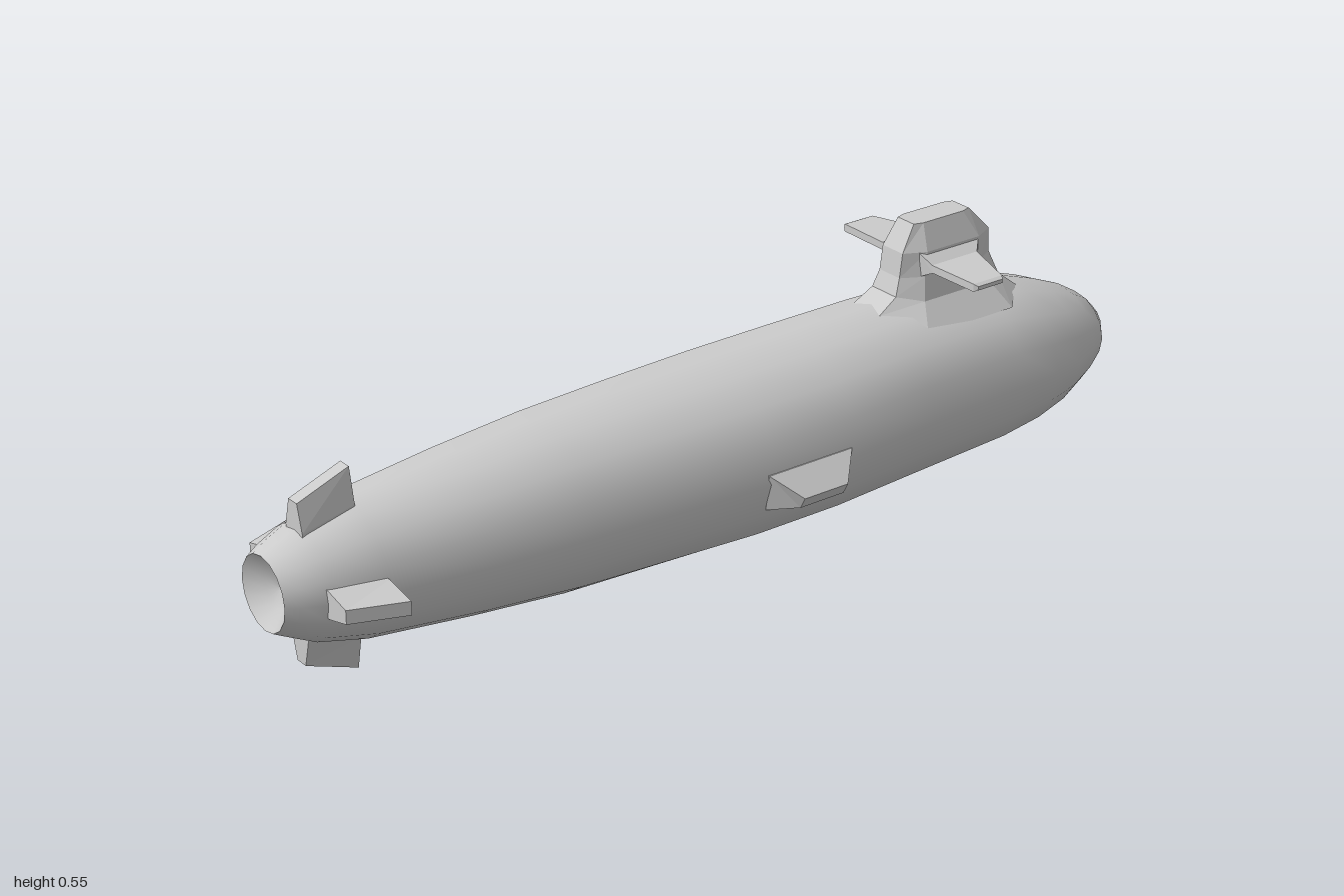
import * as THREE from 'three';

const material = new THREE.MeshStandardMaterial({ color: 0xcccccc });

// Skins a list of equal-sized rings; each ring runs counter-clockwise about the loft direction.
function loft(name, rings, { flat = true, capStart = false, capEnd = false } = {}) {
  const n = rings[0].length;
  const index = [];
  for (let i = 0; i < rings.length - 1; i++) {
    for (let j = 0; j < n; j++) {
      const a = i * n + j, b = i * n + (j + 1) % n;
      index.push(a, b, b + n, a, b + n, a + n);
    }
  }
  const last = (rings.length - 1) * n;
  for (let j = 1; j < n - 1; j++) {
    if (capStart) index.push(0, j + 1, j);
    if (capEnd) index.push(last, last + j, last + j + 1);
  }
  let geometry = new THREE.BufferGeometry();
  geometry.setAttribute('position', new THREE.Float32BufferAttribute(rings.flat(2), 3));
  geometry.setIndex(index);
  if (flat) geometry = geometry.toNonIndexed();
  geometry.computeVertexNormals();
  const mesh = new THREE.Mesh(geometry, material);
  mesh.name = name;
  return mesh;
}

// Sixteen-sided hull section: station, bottom, top, half width
function hullRing([x, bottom, top, halfWidth]) {
  return Array.from({ length: 16 }, (_, k) => {
    const a = k * Math.PI / 8;
    return [x, (top + bottom) / 2 + Math.cos(a) * (top - bottom) / 2, Math.sin(a) * halfWidth];
  });
}

// Eight-sided sail section with chamfered corners
function sailRing({ ySide, yBack, yFront, x0, x1, chamfer, narrow, wide }) {
  const a = x0 + chamfer, b = x1 - chamfer;
  return [
    [x0, yBack, -narrow], [x0, yBack, narrow], [a, ySide, wide], [b, ySide, wide],
    [x1, yFront, narrow], [x1, yFront, -narrow], [b, ySide, -wide], [a, ySide, -wide],
  ];
}

// Fin growing sideways; each section is [z at bottom, z at top, x0, x1, y0, y1]
function sideFin(name, sections, side) {
  const rings = sections.map(([zb, zt, x0, x1, y0, y1]) => {
    const ring = [[x0, y0, zb * side], [x1, y0, zb * side], [x1, y1, zt * side], [x0, y1, zt * side]];
    return side > 0 ? ring : ring.reverse();
  });
  return loft(name, rings, { capEnd: true });
}

export function createModel() {
  const group = new THREE.Group();

  // Hull, stern to nose
  const stations = [
    [-1, 0.13, 0.28, 0.073], [-0.97, 0.115, 0.295, 0.09], [-0.92, 0.09, 0.315, 0.11],
    [-0.82, 0.066, 0.34, 0.134], [-0.6, 0.043, 0.362, 0.163], [-0.4, 0.025, 0.378, 0.178],
    [-0.2, 0.02, 0.384, 0.193], [0, 0.014, 0.388, 0.205], [0.2, 0.014, 0.39, 0.205],
    [0.4, 0.02, 0.393, 0.193], [0.65, 0.028, 0.388, 0.178], [0.75, 0.045, 0.364, 0.17],
    [0.83, 0.065, 0.337, 0.15], [0.9, 0.092, 0.308, 0.118], [0.95, 0.12, 0.278, 0.088],
    [0.985, 0.155, 0.245, 0.048], [1, 0.199, 0.201, 0.001],
  ];
  group.add(loft('hull', stations.map(hullRing), { flat: false, capEnd: true }));

  // Shallow recess in the stern
  const recess = [[-0.965, 0.204, 0.206, 0.001], [-0.972, 0.165, 0.245, 0.04], stations[0]];
  group.add(loft('sternRecess', recess.map(hullRing), { flat: false, capStart: true }));

  // Sail with a flared foot and sloping crown
  const level = (y, x0, x1, chamfer, narrow, wide) =>
    ({ ySide: y, yBack: y, yFront: y, x0, x1, chamfer, narrow, wide });
  group.add(loft('sail', [
    { ySide: 0.35, yBack: 0.385, yFront: 0.36, x0: 0.385, x1: 0.745, chamfer: 0.07, narrow: 0.04, wide: 0.108 },
    { ySide: 0.4, yBack: 0.412, yFront: 0.395, x0: 0.43, x1: 0.7, chamfer: 0.05, narrow: 0.036, wide: 0.066 },
    level(0.447, 0.443, 0.677, 0.045, 0.03, 0.055),
    level(0.497, 0.45, 0.675, 0.045, 0.03, 0.052),
    level(0.55, 0.482, 0.625, 0.02, 0.024, 0.03),
  ].map(sailRing), { capEnd: true }));

  for (const side of [1, -1]) {
    const label = side > 0 ? 'front' : 'back';

    // Diving planes on the sail with flared roots
    group.add(sideFin(`${label}SailPlane`, [
      [0.045, 0.045, 0.48, 0.635, 0.446, 0.496],
      [0.078, 0.075, 0.488, 0.605, 0.462, 0.478],
      [0.195, 0.195, 0.49, 0.563, 0.462, 0.478],
      [0.203, 0.203, 0.495, 0.558, 0.466, 0.474],
    ], side));

    // Stub fins amidships
    group.add(sideFin(`${label}HullFin`, [
      [0.17, 0.18, -0.02, 0.185, 0.145, 0.22],
      [0.193, 0.203, -0.018, 0.184, 0.145, 0.22],
      [0.238, 0.251, 0.03, 0.135, 0.153, 0.177],
    ], side));
  }

  // Four tail fins, raked outward toward the bow
  ['upper', 'front', 'lower', 'back'].forEach((label, k) => {
    const section = (r0, r1, t) =>
      [[-0.93, r0, -t], [-0.93, r0, t], [-0.82, r1, t], [-0.82, r1, -t]];
    const fin = loft(`${label}TailFin`, [
      section(0.08, 0.1, 0.028), section(0.108, 0.134, 0.028), section(0.163, 0.204, 0.014),
    ], { capEnd: true });
    fin.position.y = 0.204;
    fin.rotation.x = k * Math.PI / 2;
    group.add(fin);
  });

  return group;
}
